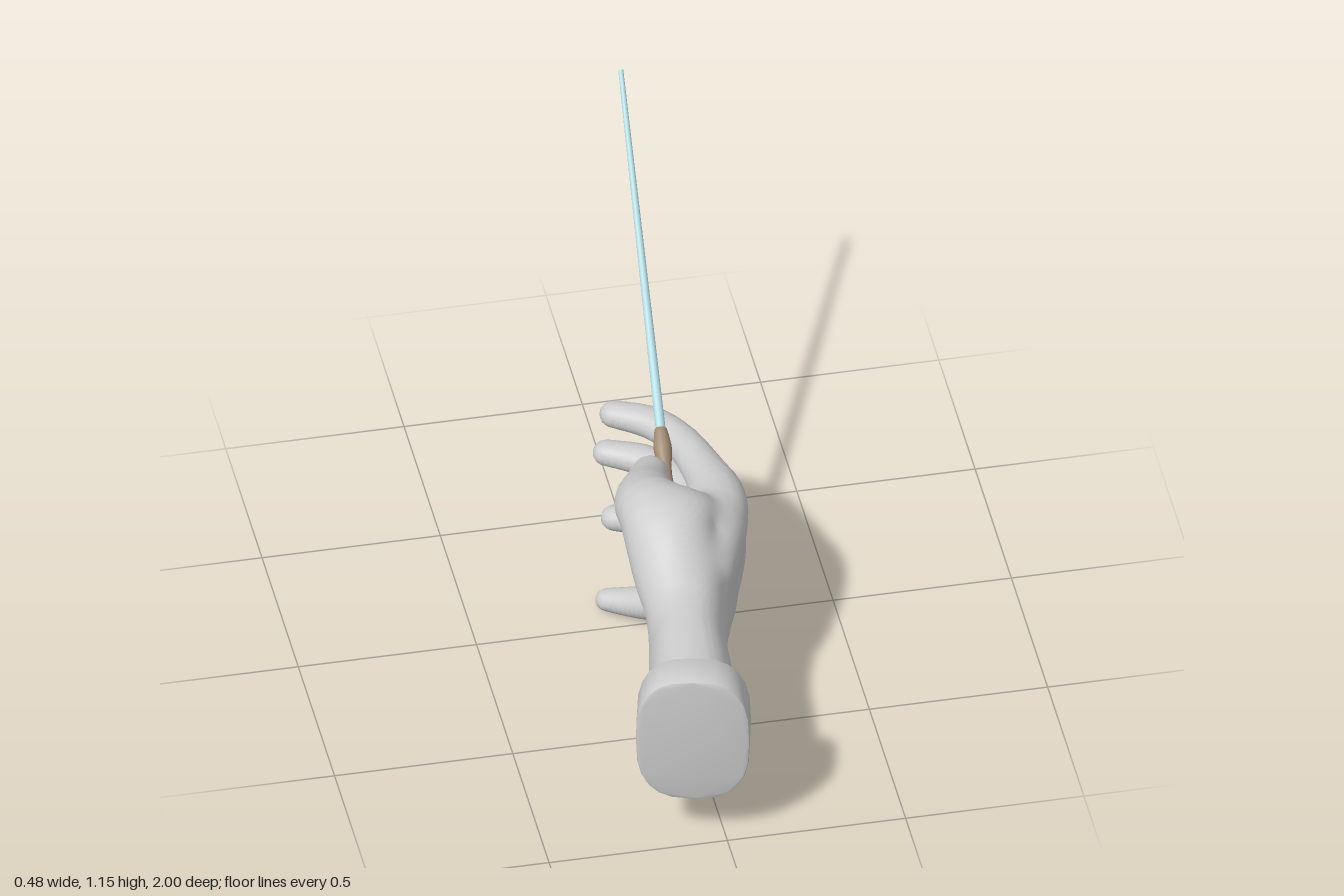
import * as THREE from 'three';
import { toCreasedNormals } from 'three/addons/utils/BufferGeometryUtils.js';

const V = (x, y, z) => new THREE.Vector3(x, y, z);

// Wrist and palm sections: x, y, z, half thickness, half height, roll
const PALM = [
  [-0.077, 0.34, 0.95, 0.122, 0.175, 0], [-0.048, 0.34, 0.74, 0.116, 0.172, 0],
  [-0.028, 0.338, 0.6, 0.11, 0.174, 0], [0.0, 0.335, 0.48, 0.11, 0.188, 0.03],
  [0.044, 0.33, 0.38, 0.102, 0.202, 0.1], [0.094, 0.32, 0.26, 0.09, 0.214, 0.2],
  [0.129, 0.324, 0.15, 0.073, 0.203, 0.24], [0.138, 0.345, 0.05, 0.052, 0.165, 0.24],
];

// Finger bones as x, y, z, radius, each starting inside the palm
const DIGITS = {
  indexFinger: [[0.07, 0.46, 0.36, 0.07], [0.128, 0.483, 0.2, 0.075], [0.156, 0.485, 0.09, 0.069],
    [0.144, 0.487, -0.03, 0.053], [0.108, 0.488, -0.17, 0.045], [0.045, 0.49, -0.265, 0.043],
    [-0.048, 0.488, -0.326, 0.036]],
  middleFinger: [[0.09, 0.37, 0.3, 0.065], [0.137, 0.375, 0.15, 0.068], [0.147, 0.36, 0.06, 0.061],
    [0.138, 0.346, -0.06, 0.047], [0.096, 0.342, -0.2, 0.044], [0.03, 0.34, -0.293, 0.042],
    [-0.063, 0.338, -0.35, 0.035]],
  ringFinger: [[0.075, 0.28, 0.3, 0.065], [0.113, 0.265, 0.15, 0.065], [0.117, 0.25, 0.05, 0.056],
    [0.103, 0.226, -0.06, 0.047], [0.066, 0.202, -0.17, 0.044], [0.0, 0.185, -0.234, 0.041],
    [-0.058, 0.176, -0.265, 0.035]],
  littleFinger: [[0.025, 0.205, 0.36, 0.065], [0.06, 0.153, 0.21, 0.063], [0.064, 0.125, 0.11, 0.058],
    [0.04, 0.098, 0.045, 0.053], [0.0, 0.07, -0.002, 0.047], [-0.055, 0.046, -0.05, 0.04],
    [-0.114, 0.034, -0.088, 0.031]],
  thumb: [[-0.03, 0.41, 0.54, 0.075], [-0.03, 0.46, 0.4, 0.092], [-0.038, 0.544, 0.24, 0.092],
    [-0.05, 0.535, 0.14, 0.079], [-0.026, 0.505, 0.025, 0.056], [-0.003, 0.488, -0.05, 0.044]],
  thumbWeb: [[-0.01, 0.47, 0.42, 0.08], [0.015, 0.55, 0.27, 0.083], [0.09, 0.505, 0.22, 0.068]],
};
// Digits are this much deeper than they are tall
const DEPTH = 1.14;

// Resamples rows along a smooth curve through their positions and sizes
function densify(rows, count) {
  const path = new THREE.CatmullRomCurve3(rows.map((r) => V(r[0], r[1], r[2])), false, 'catmullrom');
  const size = new THREE.CatmullRomCurve3(rows.map((r) => V(r[3], r[4] ?? 0, r[5] ?? 0)), false, 'catmullrom');
  return Array.from({ length: count + 1 }, (_, i) => [
    ...path.getPoint(i / count).toArray(), ...size.getPoint(i / count).toArray()]);
}

// Distance to an oval limb of varying radius
function limbDistance(limb, x, y, z) {
  let best = Infinity;
  for (let i = 1; i < limb.length; i++) {
    const a = limb[i - 1], b = limb[i];
    const ux = b[0] - a[0], uy = (b[1] - a[1]) * DEPTH, uz = b[2] - a[2];
    const px = x - a[0], py = (y - a[1]) * DEPTH, pz = z - a[2];
    const t = Math.min(1, Math.max(0, (px * ux + py * uy + pz * uz) / (ux * ux + uy * uy + uz * uz)));
    const dx = px - t * ux, dy = py - t * uy, dz = pz - t * uz;
    const radius = (a[3] + t * (b[3] - a[3])) * DEPTH;
    best = Math.min(best, Math.sqrt(dx * dx + dy * dy + dz * dz) - radius);
  }
  return best;
}

// Distance to the palm, rounded off where the fingers begin
function palmDistance(section, endZ, x, y, z) {
  const [cx, cy, , rx, ry, roll] = section;
  const c = Math.cos(roll), s = Math.sin(roll), dx = x - cx, dy = y - cy;
  const u = dx * c - dy * s, v = dx * s + dy * c;
  const q = (Math.abs(u / rx) ** 2.4 + Math.abs(v / ry) ** 2.4) ** (1 / 2.4) + 1e-6;
  const a = Math.max(Math.hypot(u, v) * (1 - 1 / q), -0.1) + 0.04, b = endZ - z + 0.04;
  return Math.min(Math.max(a, b), 0) + Math.hypot(Math.max(a, 0), Math.max(b, 0)) - 0.04;
}

// Union with a soft fillet
function blend(a, b, k) {
  const h = Math.max(k - Math.abs(a - b), 0) / k;
  return Math.min(a, b) - h * h * k * 0.25;
}

// One continuous skin over palm, thumb and fingers
function handGeometry() {
  const palm = densify(PALM, 1000), endZ = PALM.at(-1)[2];
  const limbs = Object.values(DIGITS).map((rows) => densify(rows, 20));
  const cell = 0.0105, min = [-0.23, -0.03, -0.43], max = [0.28, 0.69, 0.97];
  const [nx, ny, nz] = min.map((m, i) => Math.ceil((max[i] - m) / cell) + 1);
  const step = [1, nx, nx * ny], field = new Float32Array(nx * ny * nz);

  for (let k = 0, p = 0; k < nz; k++) {
    const z = min[2] + k * cell;
    const section = palm.find((s) => s[2] <= z) ?? palm.at(-1);
    for (let j = 0; j < ny; j++) {
      for (let i = 0; i < nx; i++, p++) {
        const x = min[0] + i * cell, y = min[1] + j * cell;
        let d = palmDistance(section, endZ, x, y, z);
        for (const limb of limbs) d = blend(d, limbDistance(limb, x, y, z), 0.038);
        // Slanted cut hidden inside the cuff
        field[p] = Math.max(d, z - 0.9 - 0.23 * (x + 0.07));
      }
    }
  }

  // One vertex per cell crossed by the surface
  const corner = Array.from({ length: 8 }, (_, c) => [c & 1, (c >> 1) & 1, c >> 2]);
  const offset = corner.map((c) => c[0] * step[0] + c[1] * step[1] + c[2] * step[2]);
  const vertexOf = new Int32Array(field.length), points = [], index = [];
  for (let p = 0; p < field.length - offset[7]; p++) {
    const sum = V(0, 0, 0);
    let hits = 0;
    for (let c = 0; c < 8; c++) {
      for (const bit of [1, 2, 4]) {
        const a = field[p + offset[c]], b = field[p + offset[c | bit]];
        if (c & bit || a < 0 === b < 0) continue;
        sum.add(V(...corner[c]).lerp(V(...corner[c | bit]), a / (a - b)));
        hits++;
      }
    }
    if (!hits) continue;
    vertexOf[p] = points.length;
    const at = V(p % nx, Math.floor(p / nx) % ny, Math.floor(p / step[2]));
    points.push(sum.divideScalar(hits).add(at).multiplyScalar(cell).add(V(...min)));
  }

  // One quad around each grid edge crossed by the surface
  for (let p = 0; p < field.length - offset[7]; p++) {
    for (let d = 0; d < 3; d++) {
      const inside = field[p] < 0;
      if (inside === field[p + step[d]] < 0) continue;
      const u = step[(d + 1) % 3], v = step[(d + 2) % 3];
      const quad = [p - u - v, p - v, p, p - u].map((c) => vertexOf[c]);
      if (!inside) quad.reverse();
      index.push(quad[0], quad[1], quad[2], quad[0], quad[2], quad[3]);
    }
  }
  const geometry = new THREE.BufferGeometry().setFromPoints(points);
  geometry.setIndex(index);
  geometry.computeVertexNormals();
  return geometry;
}

export function createModel() {
  const model = new THREE.Group();
  const grey = new THREE.MeshStandardMaterial({ color: 0xcccccc });
  const add = (name, geometry, material = grey, parent = model) => {
    const mesh = new THREE.Mesh(geometry, material);
    mesh.name = name;
    parent.add(mesh);
    return mesh;
  };

  add('hand', handGeometry());

  // Rounded-rectangle cuff, set square to the forearm
  const bend = (v) => Math.sign(v) * Math.abs(v) ** (2 / 2.8);
  const outline = Array.from({ length: 24 }, (_, j) => {
    const a = (j / 24) * Math.PI * 2;
    return new THREE.Vector2(0.149 * bend(Math.cos(a)), 0.195 * bend(Math.sin(a)));
  });
  const cuffGeometry = new THREE.ExtrudeGeometry(new THREE.Shape(outline), {
    depth: 0.1, bevelEnabled: true, bevelSize: 0.008, bevelThickness: 0.008, bevelSegments: 2,
  });
  const cuff = add('cuff', toCreasedNormals(cuffGeometry, 0.6));
  cuff.position.set(-0.066, 0.338, 0.863);
  cuff.rotation.y = -0.225;

  // Tapered stick with a turned handle, aimed from the grip to its tip
  const neck = V(0.05, 0.54, -0.165), tip = V(0.107, 1.152, -0.995);
  const length = neck.distanceTo(tip);
  const baton = new THREE.Group();
  baton.name = 'baton';
  baton.position.copy(neck);
  baton.quaternion.setFromUnitVectors(V(0, 1, 0), tip.clone().sub(neck).normalize());
  model.add(baton);
  const shaft = new THREE.CylinderGeometry(0.007, 0.014, length, 16).translate(0, length / 2, 0);
  add('shaft', shaft, new THREE.MeshStandardMaterial({ color: 0xb4dce4 }), baton);
  const profile = new THREE.SplineCurve([[0, -0.27], [0.022, -0.262], [0.029, -0.235], [0.022, -0.18],
    [0.018, -0.12], [0.025, -0.06], [0.022, -0.025], [0.015, 0.005], [0, 0.008]]
    .map(([r, y]) => new THREE.Vector2(r, y))).getPoints(40);
  profile.forEach((p) => { p.x = Math.max(p.x, 0); });
  add('handle', new THREE.LatheGeometry(profile, 24), new THREE.MeshStandardMaterial({ color: 0xa08a72 }), baton);

  return model;
}
